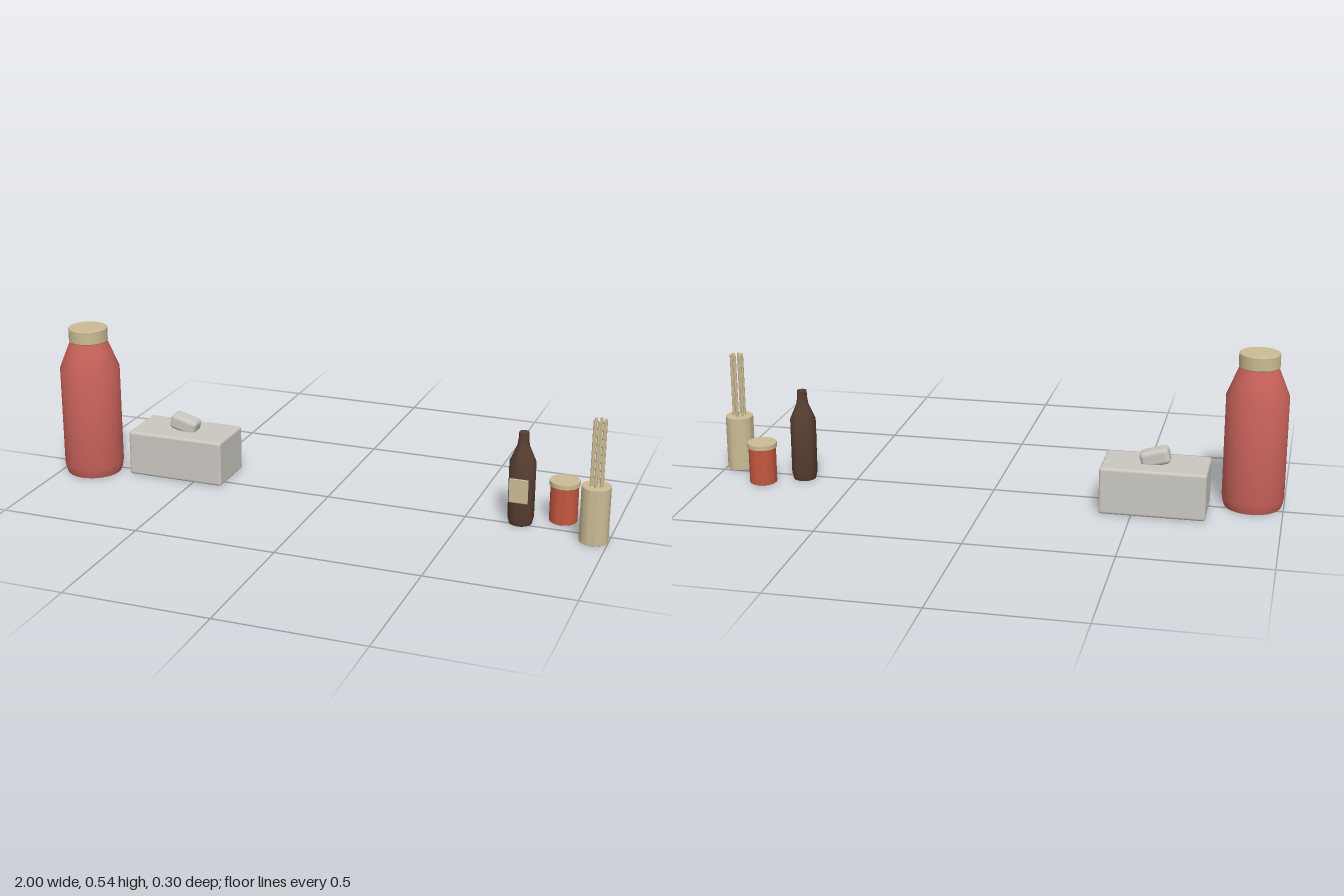
import * as THREE from 'three';
import { toCreasedNormals } from 'three/addons/utils/BufferGeometryUtils.js';
import { RoundedBoxGeometry } from 'three/addons/geometries/RoundedBoxGeometry.js';

const paint = (name, color) => {
  const m = new THREE.MeshStandardMaterial({ color });
  m.name = name;
  return m;
};

export function createModel() {
  const coral = paint('coral', 0xc8625a);
  const tan = paint('tan', 0xcbbb94);
  const brown = paint('brown', 0x573d31);
  const grey = paint('warm grey', 0xcac7c0);
  const orange = paint('orange red', 0xc2573f);

  const model = new THREE.Group();
  const group = (name, x, z) => {
    const g = new THREE.Group();
    g.name = name;
    g.position.set(x, 0, z);
    model.add(g);
    return g;
  };
  const add = (parent, name, geometry, material, x = 0, y = 0, z = 0) => {
    const mesh = new THREE.Mesh(geometry, material);
    mesh.name = name;
    mesh.position.set(x, y, z);
    parent.add(mesh);
    return mesh;
  };
  // Closed turned shape from [radius, height] pairs, with sharp rims
  const turned = (points, sides = 32) => toCreasedNormals(
    new THREE.LatheGeometry(points.map(([r, y]) => new THREE.Vector2(r, y)), sides), 0.6);
  // Disc-ended drum with a small bevel on its top and bottom rims
  const drum = (r, y0, y1, b) => turned([
    [0, y0], [r - b, y0], [r, y0 + b], [r, y1 - b], [r - b, y1], [0, y1]]);

  // Large flask with a screw lid
  const flask = group('flask', -0.894, 0.046);
  add(flask, 'flaskBody', turned([
    [0, 0], [0.097, 0], [0.102, 0.015], [0.106, 0.036], [0.106, 0.393],
    [0.08, 0.457], [0.065, 0.493], [0, 0.493]], 40), coral);
  add(flask, 'flaskLid', drum(0.069, 0.492, 0.542, 0.003), tan);

  // Tissue box with a crumpled tissue on top
  const box = group('tissueBox', -0.57, -0.051);
  add(box, 'boxBody', new RoundedBoxGeometry(0.36, 0.164, 0.198, 3, 0.01), grey, 0, 0.082);
  const tissue = add(box, 'tissue', new RoundedBoxGeometry(0.1, 0.056, 0.063, 3, 0.015), grey, 0.002, 0.185, -0.001);
  tissue.rotation.z = -0.28;

  // Small brown bottle with a flat label on its front
  const bottle = group('brownBottle', 0.688, -0.019);
  add(bottle, 'bottleBody', turned([
    [0, 0], [0.039, 0], [0.045, 0.025], [0.045, 0.222], [0.033, 0.25],
    [0.021, 0.278], [0.0175, 0.303], [0.0165, 0.327], [0, 0.327]]), brown);
  add(bottle, 'bottleLabel', new RoundedBoxGeometry(0.066, 0.086, 0.006, 2, 0.0028), tan, 0, 0.131, 0.047);

  // Jar with a wider lid
  const jar = group('jar', 0.82, -0.086);
  add(jar, 'jarBody', drum(0.048, 0, 0.131, 0.002), orange);
  add(jar, 'jarLid', drum(0.052, 0.13, 0.148, 0.001), tan);

  // Holder with a bundle of sticks
  const holder = group('stickHolder', 0.951, 0.0455);
  add(holder, 'holderBody', drum(0.049, 0, 0.197, 0.002), tan);
  const stick = new THREE.CylinderGeometry(0.005, 0.005, 0.26, 10);
  for (let i = 0; i < 6; i++) {
    const a = i * Math.PI / 3;
    add(holder, 'stick', stick, tan, 0.019 * Math.sin(a), 0.295, 0.019 * Math.cos(a));
  }

  return model;
}
